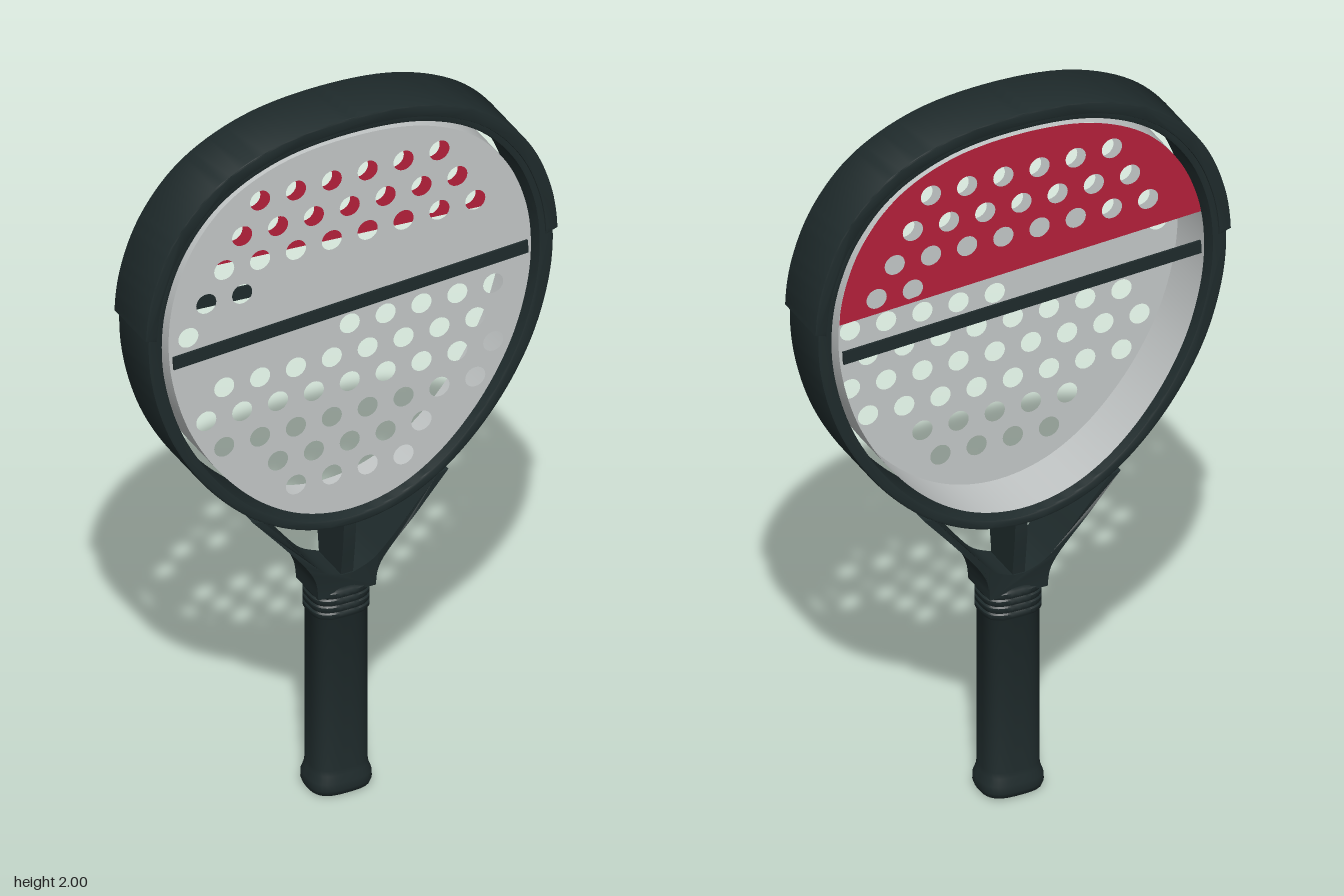
import * as THREE from 'three';
import { mergeVertices, toCreasedNormals } from 'three/addons/utils/BufferGeometryUtils.js';

const V = (x, y) => new THREE.Vector2(x, y);

// Teardrop head outline, anticlockwise from the bottom
const half = [[0.14, 0.824], [0.27, 0.895], [0.4, 1.025], [0.5, 1.19], [0.553, 1.36], [0.565, 1.5],
  [0.547, 1.63], [0.49, 1.765], [0.385, 1.882], [0.22, 1.96]];
const knots = [[0, 0.8], ...half, [0, 1.985], ...half.map(([x, y]) => [-x, y]).reverse()];
const headCurve = new THREE.CatmullRomCurve3(knots.map(([x, y]) => new THREE.Vector3(x, y, 0)), true, 'centripetal');
const outline = headCurve.getPoints(160).slice(0, -1);

// The outline resized to a half width, bottom and top
const fit = (w, y0, y1, pts = outline) =>
  pts.map(p => V(p.x * w / 0.565, y0 + (p.y - 0.8) / 1.185 * (y1 - y0)));

// Rows of holes: height, first x, count
const upperRows = [[1.825, -0.25, 6], [1.735, -0.3, 7], [1.65, -0.35, 8], [1.565, -0.4, 2]];
const lowerRows = [[1.48, -0.45, 1], [1.39, 0, 5], [1.305, -0.35, 8], [1.22, -0.4, 9],
  [1.13, -0.35, 8], [1.045, -0.2, 5], [0.96, -0.15, 4]];

function punch(shape, rows) {
  for (const [y, x0, n] of rows) {
    for (let i = 0; i < n; i++) {
      shape.holes.push(new THREE.Path().absarc(x0 + i * 0.1, y, 0.028, 0, Math.PI * 2, true));
    }
  }
  return shape;
}

// Extrusion centred on z = 0 with a small bevel
function slab(shape, halfDepth, bevel) {
  const g = new THREE.ExtrudeGeometry(shape, {
    depth: 2 * (halfDepth - bevel), bevelEnabled: bevel > 0, bevelSize: bevel,
    bevelThickness: bevel, bevelOffset: -bevel, bevelSegments: 2, curveSegments: 12,
  });
  return g.translate(0, 0, -(halfDepth - bevel));
}

// Open side wall following a closed loop
function wall(loop, z0, z1) {
  const pos = [], idx = [], n = loop.length;
  loop.forEach((p, i) => {
    pos.push(p.x, p.y, z0, p.x, p.y, z1);
    const a = 2 * i, b = 2 * ((i + 1) % n);
    idx.push(a, b, b + 1, a, b + 1, a + 1);
  });
  const g = new THREE.BufferGeometry();
  g.setAttribute('position', new THREE.Float32BufferAttribute(pos, 3));
  g.setIndex(idx);
  g.computeVertexNormals();
  return g;
}

export function createModel() {
  const model = new THREE.Group();
  model.name = 'padelRacket';
  const mat = (name, color, side = THREE.FrontSide) => {
    const m = new THREE.MeshStandardMaterial({ color, side });
    m.name = name;
    return m;
  };
  const dark = mat('dark green black', 0x1f2b2c, THREE.DoubleSide);
  const grey = mat('light grey', 0xc3c7c7, THREE.DoubleSide);
  const red = mat('red', 0xb4203a, THREE.DoubleSide);
  const add = (name, geometry, material, parent = model) => {
    const m = new THREE.Mesh(geometry, material);
    m.name = name;
    parent.add(m);
    return m;
  };

  // Frame ring
  const ring = new THREE.Shape(fit(0.565, 0.8, 1.985));
  ring.holes.push(new THREE.Path(fit(0.525, 0.826, 1.95)));
  add('frame', toCreasedNormals(slab(ring, 0.081, 0.006), 0.5), dark);

  // Bumper over the upper half of the frame
  const top = outline.filter(p => p.y > 1.505);
  const bumper = new THREE.Shape([...fit(0.575, 0.785, 2, top), ...fit(0.542, 0.81, 1.966, top).reverse()]);
  add('bumper', toCreasedNormals(slab(bumper, 0.086, 0.004), 0.5), dark);

  // Hitting face: perforated front sheet with a side wall, open behind
  const loop = fit(0.505, 0.845, 1.937);
  const face = punch(new THREE.Shape(loop), [...upperRows, ...lowerRows]);
  add('faceFront', new THREE.ShapeGeometry(face, 14).translate(0, 0, 0.074), grey);
  add('faceWall', wall(loop, -0.074, 0.074), grey);

  // Red panel across the upper back, cut along a slanted line
  const cut = x => 1.545 + 0.06 * x;
  const upper = loop.filter(p => p.y > cut(p.x)).map(p => p.clone());
  for (const p of [upper[0], upper[upper.length - 1]]) p.y = cut(p.x);
  const panel = punch(new THREE.Shape(upper), upperRows);
  const panelMesh = add('backPanel', new THREE.ShapeGeometry(panel, 14).translate(0, 0, 0.075), red);
  panelMesh.rotation.y = Math.PI;

  // Slanted stripe on each side
  for (const [name, turn] of [['frontStripe', 0], ['backStripe', Math.PI]]) {
    const g = new THREE.BoxGeometry(0.99, 0.036, 0.006).rotateZ(0.056).translate(0, 1.447, 0.078);
    add(name, g, dark).rotation.y = turn;
  }

  // Throat: two curved arms joined at the neck, deeper toward the head
  const outer = new THREE.SplineCurve([V(0.08, 0.59), V(0.088, 0.645), V(0.122, 0.705), V(0.19, 0.79), V(0.272, 0.885)]).getPoints(16);
  const inner = new THREE.SplineCurve([V(0.245, 0.88), V(0.17, 0.795), V(0.105, 0.712), V(0.065, 0.67), V(0.015, 0.648)]).getPoints(16);
  const side = [...outer, ...inner];
  const throat = new THREE.Shape([...side, ...side.map(p => V(-p.x, p.y)).reverse()]);
  const taper = g => {
    const p = g.attributes.position;
    for (let i = 0; i < p.count; i++) {
      const t = THREE.MathUtils.smoothstep(p.getY(i), 0.6, 0.8);
      p.setZ(i, p.getZ(i) * (0.75 + 0.25 * t));
    }
    g.computeVertexNormals();
    return g;
  };
  add('throat', toCreasedNormals(taper(slab(throat, 0.08, 0)), 0.5), dark);
  add('centrePost', taper(new THREE.BoxGeometry(0.034, 0.18, 0.15, 1, 6, 1).translate(0, 0.73, 0)), dark);

  // Handle with butt cap and grip collars, a rounded oblong in section
  const profile = [V(0, 0), V(0.07, 0), V(0.08, 0.006), V(0.085, 0.02), V(0.084, 0.04), V(0.077, 0.06), V(0.075, 0.075),
    V(0.075, 0.52)];
  for (let i = 0; i < 4; i++) {
    const y = 0.523 + i * 0.02;
    profile.push(V(0.077, y), V(0.08, y + 0.004), V(0.08, y + 0.014), V(0.076, y + 0.018));
  }
  profile.push(V(0.074, 0.61), V(0, 0.612));
  let grip = new THREE.LatheGeometry(profile, 48);
  const p = grip.attributes.position;
  for (let i = 0; i < p.count; i++) {
    const a = Math.atan2(p.getZ(i), p.getX(i));
    const k = (Math.abs(Math.cos(a)) ** 3 + Math.abs(Math.sin(a)) ** 3) ** (-1 / 3);
    p.setX(i, p.getX(i) * k);
    p.setZ(i, p.getZ(i) * k * 0.82);
  }
  grip.deleteAttribute('normal');
  grip.deleteAttribute('uv');
  grip = mergeVertices(grip);
  grip.computeVertexNormals();
  add('handle', toCreasedNormals(grip, 0.7), dark);

  return model;
}
